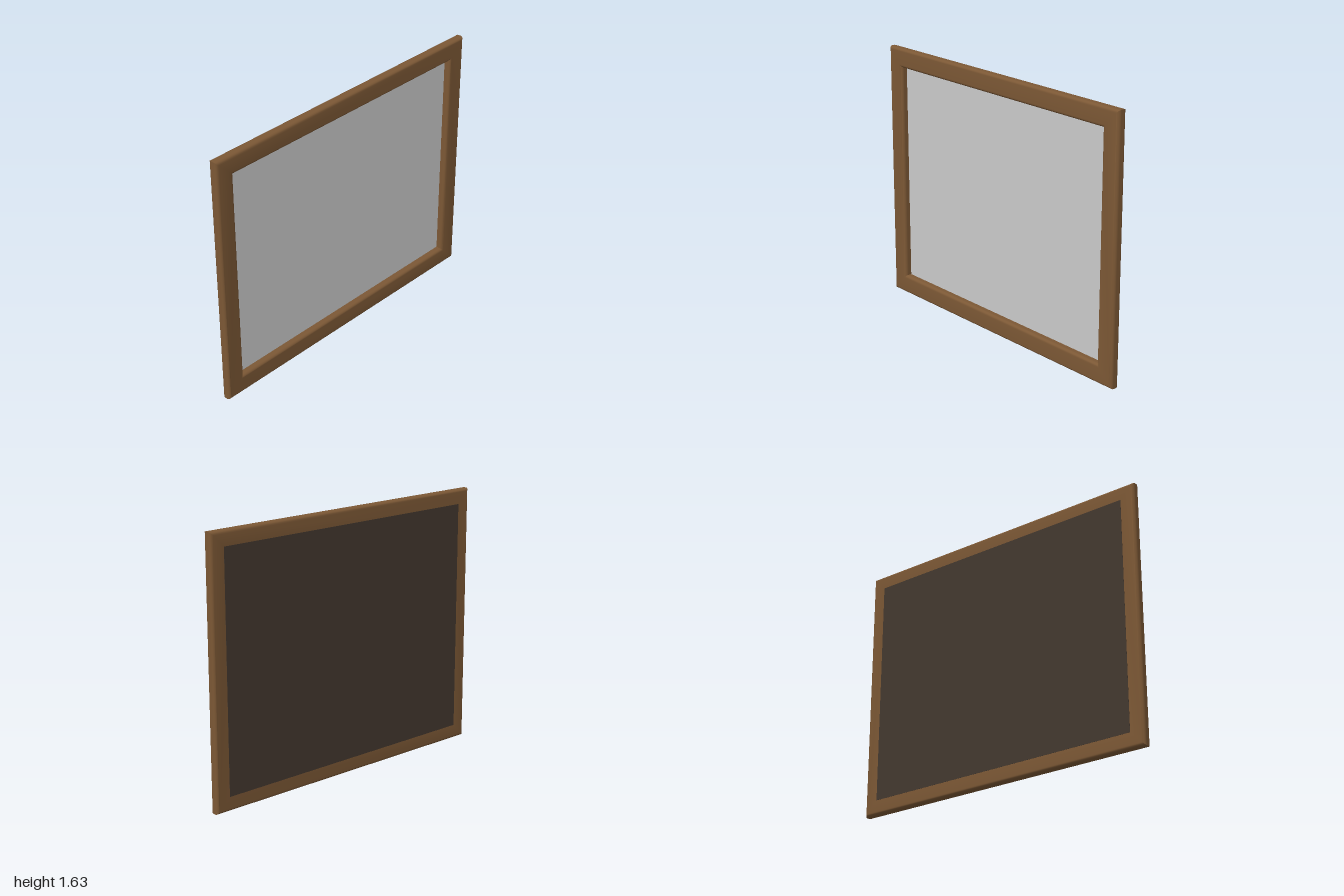
import * as THREE from 'three';
import { toCreasedNormals } from 'three/addons/utils/BufferGeometryUtils.js';

const W = 2, H = 1.63, BORDER = 0.12, DEPTH = 0.06, ROUND = 0.02;

// Adds a rectangle, centred on the origin, to a shape or hole path
function rectangle(path, w, h) {
  path.moveTo(-w / 2, -h / 2);
  path.lineTo(w / 2, -h / 2);
  path.lineTo(w / 2, h / 2);
  path.lineTo(-w / 2, h / 2);
  path.closePath();
  return path;
}

export function createModel() {
  const model = new THREE.Group();
  model.name = 'framedPanel';

  const add = (name, geometry, color, z) => {
    const mesh = new THREE.Mesh(geometry, new THREE.MeshStandardMaterial({ color }));
    mesh.name = name;
    mesh.position.set(0, H / 2, z);
    model.add(mesh);
  };

  // Wooden border with rounded inner and outer edges
  const outline = rectangle(new THREE.Shape(), W, H);
  outline.holes.push(rectangle(new THREE.Path(), W - 2 * BORDER, H - 2 * BORDER));
  const frame = new THREE.ExtrudeGeometry(outline, {
    depth: DEPTH - 2 * ROUND,
    bevelThickness: ROUND,
    bevelSize: ROUND,
    bevelOffset: -ROUND,
    bevelSegments: 5,
  });
  frame.translate(0, 0, -DEPTH / 2 + ROUND);
  add('frame', toCreasedNormals(frame, 0.6), 0x7c5835, 0);

  // Plain grey sheet, recessed behind the front opening
  add('panel', new THREE.BoxGeometry(1.8, 1.43, 0.006), 0xcccccc, -0.015);

  // Dark board closing the back, just proud of the frame
  add('backing', new THREE.BoxGeometry(1.82, 1.45, 0.013), 0x43382f, -0.0245);

  return model;
}
